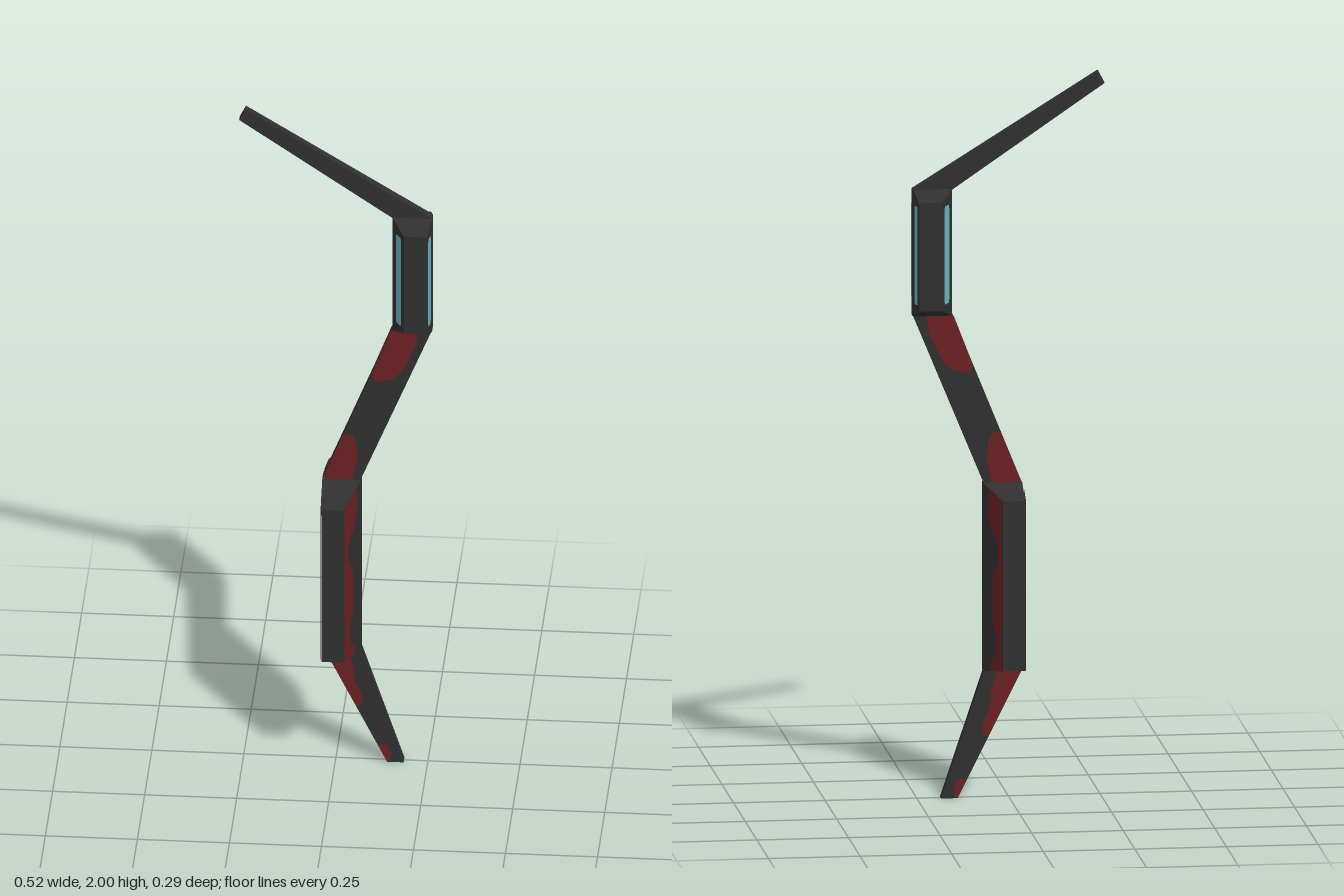
import * as THREE from 'three';

const mat = (name, color, side = THREE.FrontSide) => {
  const m = new THREE.MeshStandardMaterial({ color, side });
  m.name = name;
  return m;
};

const polygon = (pts) => new THREE.Shape(pts.map(([x, y]) => new THREE.Vector2(x, y)));

// Rectangular sections [z, x0, x1, y0, y1], ordered from back to front, joined into a faceted solid
function loft(sections) {
  const pos = [];
  const rings = sections.map(([z, x0, x1, y0, y1]) => [[x0, y0, z], [x1, y0, z], [x1, y1, z], [x0, y1, z]]);
  const quad = (a, b, c, d) => pos.push(...a, ...b, ...c, ...a, ...c, ...d);
  for (let i = 0; i < rings.length - 1; i++) {
    for (let k = 0; k < 4; k++) {
      const n = (k + 1) % 4;
      quad(rings[i][k], rings[i][n], rings[i + 1][n], rings[i + 1][k]);
    }
  }
  const [a, b, c, d] = rings[0];
  quad(d, c, b, a);
  quad(...rings[rings.length - 1]);
  const geo = new THREE.BufferGeometry();
  geo.setAttribute('position', new THREE.Float32BufferAttribute(pos, 3));
  geo.computeVertexNormals();
  return geo;
}

export function createModel() {
  const model = new THREE.Group();
  model.name = 'bowLimb';
  const dark = mat('charcoal', 0x303030);
  const red = mat('darkRed', 0x6b2023, THREE.DoubleSide);
  const cyan = mat('paleCyan', 0x68b4c0, THREE.DoubleSide);
  const add = (name, geo, material) => {
    const mesh = new THREE.Mesh(geo, material);
    mesh.name = name;
    model.add(mesh);
  };
  const half = 0.014;

  // Bent flat spine running from the foot to the tip of the arm
  const spine = new THREE.ExtrudeGeometry(polygon([
    [0.14, 0], [0.185, 0], [0.068, 0.35], [0.068, 0.87], [0.262, 1.34], [0.262, 1.685],
    [-0.245, 2], [-0.262, 1.967], [0.155, 1.683], [0.155, 1.34], [-0.035, 0.87], [-0.035, 0.35],
  ]), { depth: 2 * half, bevelEnabled: false });
  spine.translate(0, 0, -half);
  // Thin the tip of the arm
  const sp = spine.attributes.position;
  for (let i = 0; i < sp.count; i++) if (sp.getY(i) > 1.9) sp.setZ(i, sp.getZ(i) * 0.8);
  spine.computeVertexNormals();
  add('spine', spine, dark);

  // Pods bulging forward and back, with painted panels on both side faces
  const pods = [
    {
      name: 'grip', paint: red, panelName: 'gripRedPanel',
      inner: [half, -0.036, 0.07, 0.35, 0.87],
      outer: [0.147, -0.028, 0.033, 0.375, 0.845],
      panel: [[0.146, 0.845], [0.053, 0.862], [0.053, 0.785], [0.075, 0.75], [0.105, 0.735], [0.117, 0.71],
        [0.117, 0.675], [0.105, 0.65], [0.08, 0.635], [0.08, 0.5], [0.106, 0.47], [0.108, 0.43],
        [0.095, 0.405], [0.075, 0.39], [0.06, 0.36], [0.146, 0.376]],
    },
    {
      name: 'upperPod', paint: cyan, panelName: 'lightStrip',
      inner: [half, 0.155, 0.262, 1.335, 1.685],
      outer: [0.073, 0.19, 0.252, 1.36, 1.66],
      panel: [[0.06, 1.375], [0.063, 1.385], [0.063, 1.638], [0.06, 1.647], [0.038, 1.647],
        [0.035, 1.638], [0.035, 1.385], [0.038, 1.375]],
    },
  ];
  for (const { name, paint, panelName, inner, outer, panel } of pods) {
    const back = ([z, ...rest]) => [-z, ...rest];
    add(name, loft([back(outer), back(inner), inner, outer]), dark);
    for (const sx of [1, -1]) {
      const col = sx > 0 ? 2 : 1;
      for (const sz of [1, -1]) {
        const geo = new THREE.ShapeGeometry(polygon(panel));
        const p = geo.attributes.position;
        // Lay the flat panel onto the sloping side face
        for (let i = 0; i < p.count; i++) {
          const z = p.getX(i);
          const t = (z - inner[0]) / (outer[0] - inner[0]);
          p.setXYZ(i, THREE.MathUtils.lerp(inner[col], outer[col], t) + sx * 0.002, p.getY(i), sz * z);
        }
        geo.computeVertexNormals();
        add(panelName, geo, paint);
      }
    }
  }

  // Red patches on the front and back of the struts
  const patches = [
    [[0.151, 1.335], [0.225, 1.335], [0.218, 1.29], [0.2, 1.25], [0.18, 1.21], [0.155, 1.185], [0.11, 1.175], [0.099, 1.2]],
    [[-0.035, 0.87], [0.045, 0.87], [0.06, 0.93], [0.057, 0.985], [0.045, 1.01], [0.021, 1.008]],
    [[-0.034, 0.35], [0.032, 0.35], [0.05, 0.29], [0.052, 0.25], [0.075, 0.2], [0.068, 0.17], [0.056, 0.17]],
    [[0.116, 0.05], [0.14, 0.055], [0.15, 0.03], [0.148, 0.004], [0.139, 0.004]],
  ];
  for (const pts of patches) {
    for (const s of [1, -1]) {
      const geo = new THREE.ShapeGeometry(polygon(pts));
      if (s < 0) geo.scale(1, 1, -1).rotateY(Math.PI).scale(-1, 1, 1);
      geo.translate(0, 0, s * (half + 0.0015));
      geo.computeVertexNormals();
      add('strutRedPatch', geo, red);
    }
  }
  return model;
}
